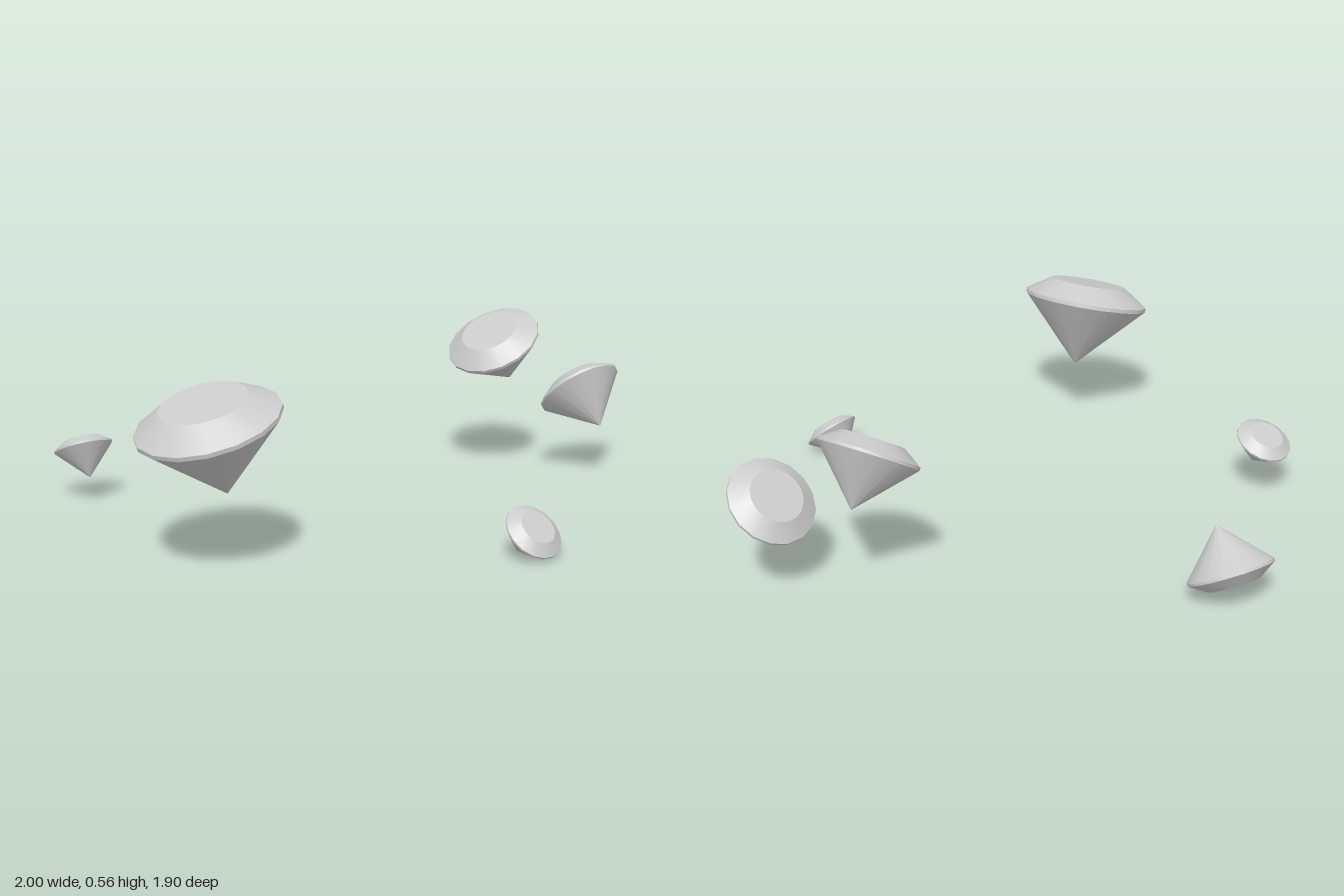
import * as THREE from 'three';
import { toCreasedNormals } from 'three/addons/utils/BufferGeometryUtils.js';

// Cut gem of girdle radius 1: pointed tip at the origin, flat table facing +y
function gemGeometry() {
  const profile = [
    [0, 0],       // tip of the pavilion
    [1, 1.05],    // lower girdle
    [1, 1.11],    // upper girdle
    [0.61, 1.365], // table edge
    [0, 1.365],   // table centre
  ].map(([r, y]) => new THREE.Vector2(r, y));
  return toCreasedNormals(new THREE.LatheGeometry(profile, 16), Math.PI / 6);
}

// Each gem: name, girdle radius, tip position, direction from tip to table
const GEMS = [
  ['largeGem', 0.223, [-0.717, 0.23, 0.272], [-0.29, 0.957, -0.015]],
  ['smallBackGem', 0.0975, [-0.583, 0.093, -0.529], [0.12, 0.895, -0.43]],
  ['smallFrontGem', 0.096, [-0.011, 0.004, 0.805], [-0.08, 0.73, 0.66]],
  ['leftFrontGem', 0.147, [0.834, 0.188, 0.518], [0.13, 0.72, -0.68]],
  ['leftGem', 0.165, [0.785, 0.312, 0.157], [-0.55, 0.835, 0]],
  ['upturnedBackGem', 0.141, [0.139, 0.23, -0.751], [0.19, -0.86, -0.47]],
];

export function createModel() {
  const group = new THREE.Group();
  group.name = 'scatteredGems';
  const geometry = gemGeometry();
  const material = new THREE.MeshStandardMaterial({ color: 0xcccccc });
  const up = new THREE.Vector3(0, 1, 0);

  for (const [name, radius, tip, axis] of GEMS) {
    const gem = new THREE.Mesh(geometry, material);
    gem.name = name;
    gem.position.set(...tip);
    gem.quaternion.setFromUnitVectors(up, new THREE.Vector3(...axis).normalize());
    gem.scale.setScalar(radius);
    group.add(gem);
  }
  return group;
}
